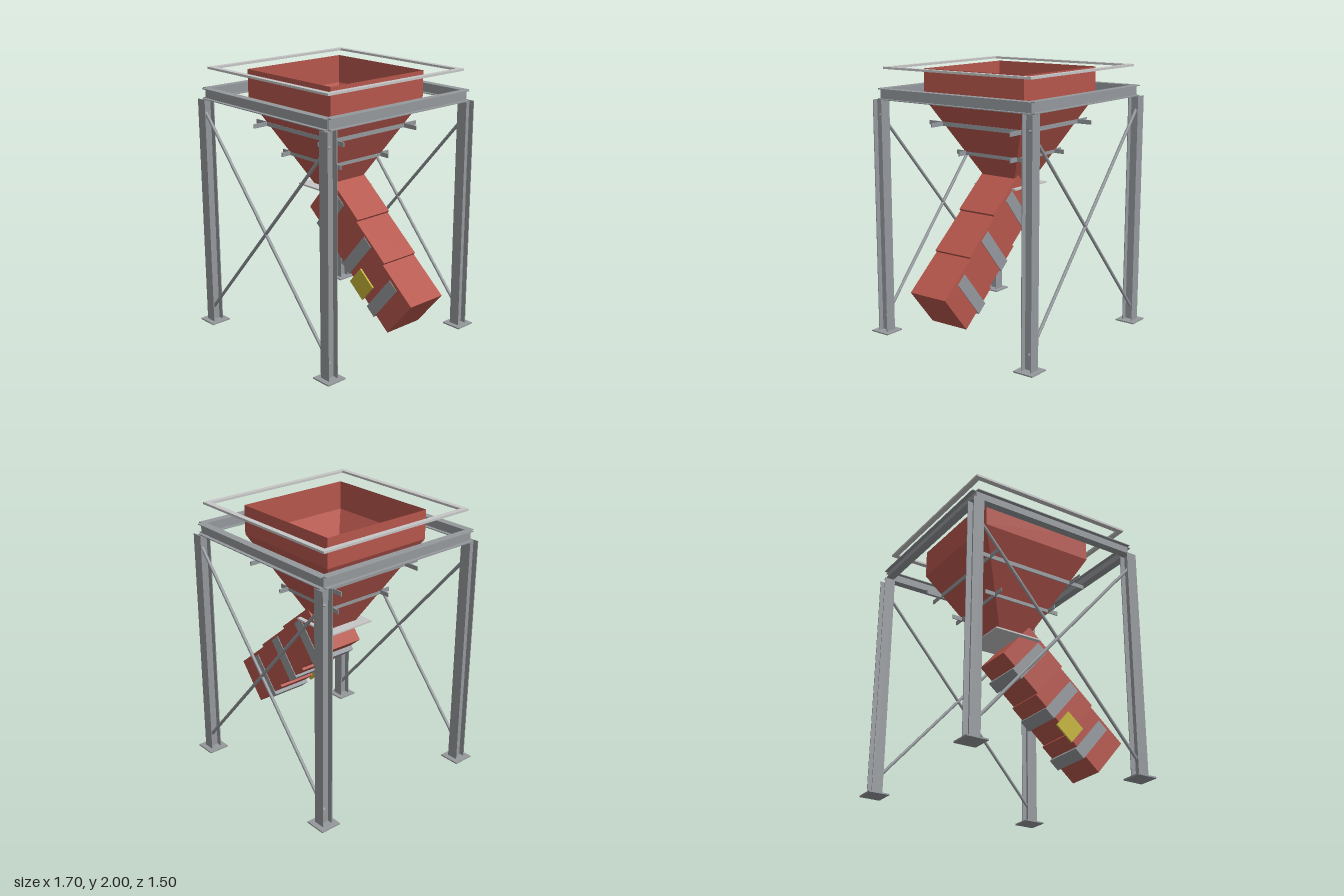
import * as THREE from 'three';

const mat = (name, color) => {
  const m = new THREE.MeshStandardMaterial({ color });
  m.name = name;
  return m;
};

export function createModel() {
  const red = mat('hopper red', 0xb5564c);
  const redSheet = mat('hopper sheet red', 0xb5564c);
  redSheet.side = THREE.DoubleSide;
  const steel = mat('steel grey', 0x94989c);
  const light = mat('light grey', 0xc6c6c6);
  const yellow = mat('yellow', 0xc4b238);

  const model = new THREE.Group();
  model.name = 'hopperWithChute';

  const group = (name, parent) => {
    const g = new THREE.Group();
    g.name = name;
    parent.add(g);
    return g;
  };
  const box = (name, parent, material, size, pos) => {
    const m = new THREE.Mesh(new THREE.BoxGeometry(...size), material);
    m.name = name;
    m.position.set(...pos);
    parent.add(m);
    return m;
  };

  // Everything but the chute is centred on the tower axis
  const tower = group('tower', model);
  tower.position.x = -0.1;
  const H = 0.67; // half spacing of the legs
  const T = 0.006; // steel plate thickness

  // Legs: H-sections on base plates
  for (const sx of [-1, 1]) for (const sz of [-1, 1]) {
    const leg = group('leg', tower);
    leg.position.set(sx * H, 0, sz * H);
    box('basePlate', leg, steel, [0.16, 0.01, 0.16], [0, 0.005, 0]);
    box('legWeb', leg, steel, [T, 1.755, 0.084], [0, 0.8875, 0]);
    for (const s of [-1, 1])
      box('legFlange', leg, steel, [0.084, 1.755, T], [0, 0.8875, s * 0.039]);
  }

  // Top frame: four I-beams
  for (let i = 0; i < 4; i++) {
    const beam = group('topBeam', tower);
    beam.rotation.y = i * Math.PI / 2;
    box('beamWeb', beam, steel, [2 * H, 0.08, T], [0, 1.805, H]);
    for (const y of [1.768, 1.842])
      box('beamFlange', beam, steel, [2 * H, T, 0.06], [0, y, H]);
  }

  // Crossed braces on the front and back
  const up = new THREE.Vector3(0, 1, 0);
  for (const sz of [-1, 1]) for (const sx of [-1, 1]) {
    const a = new THREE.Vector3(-sx * (H + 0.005), 1.66, sz * H);
    const b = new THREE.Vector3(sx * (H + 0.005), 0.115, sz * H);
    const d = b.clone().sub(a);
    const brace = new THREE.Mesh(new THREE.CylinderGeometry(0.012, 0.012, d.length(), 10), steel);
    brace.name = 'brace';
    brace.position.copy(a).add(b).multiplyScalar(0.5);
    brace.quaternion.setFromUnitVectors(up, d.normalize());
    tower.add(brace);
  }

  // Light rail around the top
  for (const s of [-1, 1]) {
    box('topRail', tower, light, [1.31, 0.016, 0.04], [0, 1.992, s * 0.635]);
    box('topRail', tower, light, [0.04, 0.016, 1.23], [s * 0.635, 1.992, 0]);
  }

  // Hopper: open square sheet walls
  const walls = (name, topHalf, bottomHalf, y0, y1) => {
    const r = Math.SQRT2;
    const g = new THREE.CylinderGeometry(topHalf * r, bottomHalf * r, y1 - y0, 4, 1, true)
      .rotateY(Math.PI / 4).toNonIndexed();
    g.computeVertexNormals();
    const m = new THREE.Mesh(g, redSheet);
    m.name = name;
    m.position.y = (y0 + y1) / 2;
    tower.add(m);
  };
  walls('hopperRim', 0.449, 0.449, 1.77, 1.985);
  walls('hopperFunnel', 0.449, 0.11, 1.125, 1.77);

  // Stiffener bars crossing at the funnel corners
  for (const [y, half, length] of [[1.58, 0.355, 0.96], [1.36, 0.235, 0.636]])
    for (let i = 0; i < 4; i++) {
      const bar = group('stiffener', tower);
      bar.rotation.y = i * Math.PI / 2;
      box('stiffenerBar', bar, steel, [length, 0.032, 0.008], [0, y, half]);
    }

  // Outlet plate under the funnel
  box('outletPlate', tower, light, [0.386, 0.012, 0.386], [0, 1.124, 0]);

  // Chute: local x runs down the slope, local y points out of its top
  const chute = group('chute', model);
  chute.position.set(-0.21, 0.955, 0);
  chute.rotation.z = -40 * Math.PI / 180;
  let start = 0;
  [0.385, 0.37, 0.365].forEach((length, i) => {
    box('chuteSection', chute, red, [length, 0.35, 0.316],
      [start + length / 2, 0.175 - i * 0.02, 0]);
    start += length;
  });

  // Bands around the sides and underside
  for (const [x, y] of [[0.178, 0.141], [0.552, 0.137], [0.917, 0.108]])
    box('chuteBand', chute, steel, [0.095, 0.35, 0.326], [x, y, 0]);

  // Yellow side panel
  box('sidePanel', chute, yellow, [0.17, 0.165, 0.014], [0.73, 0.02, 0.165]);

  return model;
}
